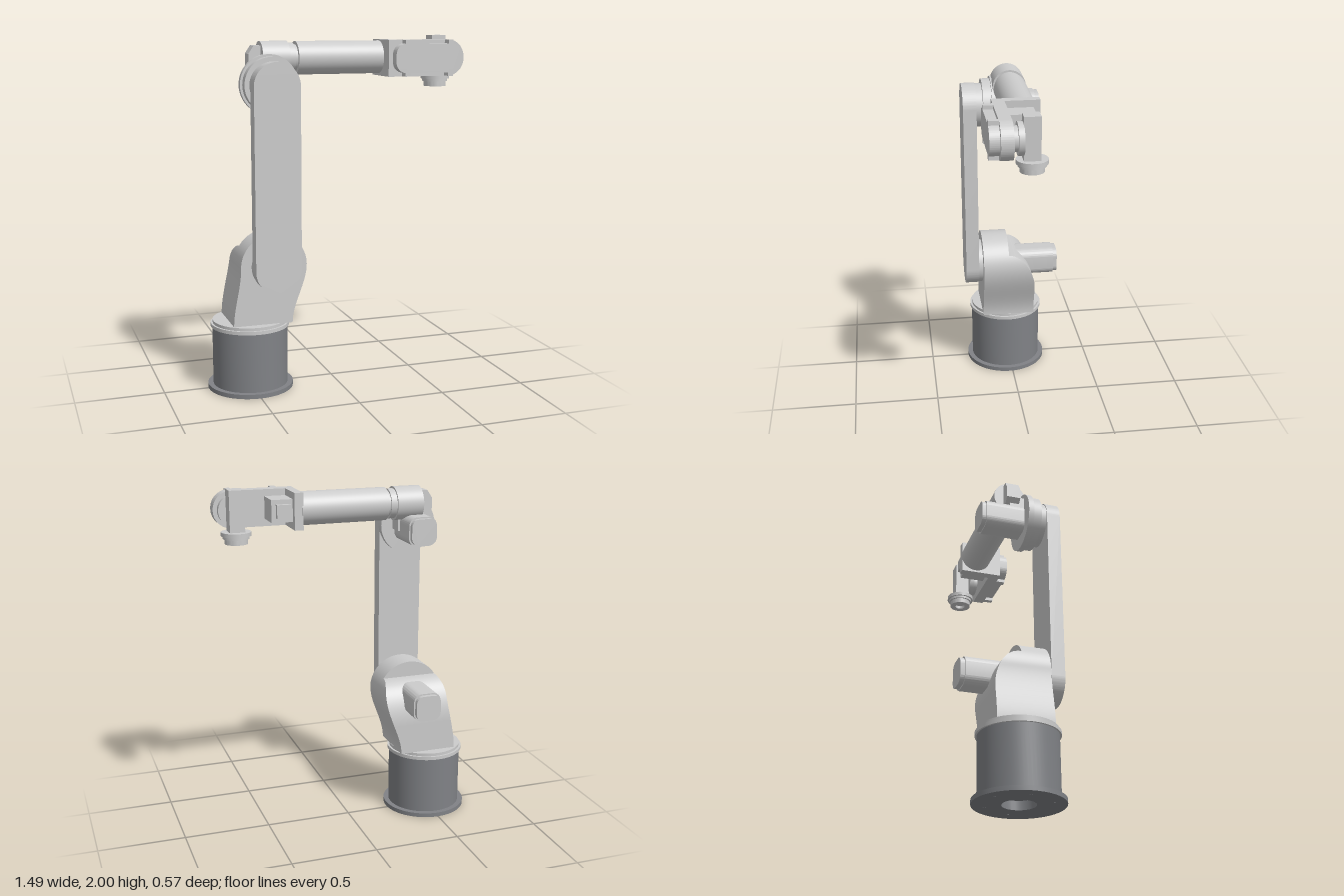
import * as THREE from 'three';
import { toCreasedNormals } from 'three/addons/utils/BufferGeometryUtils.js';

const light = new THREE.MeshStandardMaterial({ color: 0xcccccc });
const dark = new THREE.MeshStandardMaterial({ color: 0x808286 });

export function createModel() {
  const root = new THREE.Group();
  const add = (name, geo, mat = light) => {
    const mesh = new THREE.Mesh(geo, mat);
    mesh.name = name;
    root.add(mesh);
    return mesh;
  };
  // box from its limits on each axis
  const box = (name, x0, x1, y0, y1, z0, z1) =>
    add(name, new THREE.BoxGeometry(x1 - x0, y1 - y0, z1 - z0)
      .translate((x0 + x1) / 2, (y0 + y1) / 2, (z0 + z1) / 2));
  // cylinder running along one axis from a to b; u, v are the other two coordinates in xyz order
  const rod = (name, axis, u, v, a, b, r, mat) => {
    const g = new THREE.CylinderGeometry(r, r, b - a, 64);
    const m = (a + b) / 2;
    if (axis === 'x') g.rotateZ(-Math.PI / 2).translate(m, u, v);
    else if (axis === 'z') g.rotateX(Math.PI / 2).translate(u, v, m);
    else g.translate(u, m, v);
    return add(name, g, mat);
  };
  // outline in the xy plane, extruded from z0 to z1
  const slab = (name, shape, z0, z1) =>
    add(name, toCreasedNormals(new THREE.ExtrudeGeometry(shape,
      { depth: z1 - z0, bevelEnabled: false, curveSegments: 24 }).translate(0, 0, z0), 0.5));
  // rectangle with separate corner radii on the left and right
  const rounded = (x0, x1, y0, y1, rl, rr = rl) => {
    const s = new THREE.Shape();
    s.absarc(x1 - rr, y0 + rr, rr, -Math.PI / 2, 0);
    s.absarc(x1 - rr, y1 - rr, rr, 0, Math.PI / 2);
    if (rl > 0) {
      s.absarc(x0 + rl, y1 - rl, rl, Math.PI / 2, Math.PI);
      s.absarc(x0 + rl, y0 + rl, rl, Math.PI, Math.PI * 1.5);
    } else {
      s.lineTo(x0, y1);
      s.lineTo(x0, y0);
    }
    return s;
  };

  // base drum, hollow at the centre underneath
  const bx = -0.5, bz = 0.02;
  const drum = [[0, 0.05], [0.09, 0.05], [0.09, 0], [0.245, 0], [0.245, 0.025],
    [0.215, 0.025], [0.215, 0.365], [0, 0.365]].map(p => new THREE.Vector2(...p));
  add('baseDrum', toCreasedNormals(new THREE.LatheGeometry(drum, 64), 0.5).translate(bx, 0, bz), dark);
  rod('turntable', 'y', bx, bz, 0.365, 0.385, 0.225);
  rod('turntableTop', 'y', bx, bz, 0.385, 0.402, 0.213);
  for (let i = 0; i < 6; i++) {
    const a = i * Math.PI / 3;
    rod('baseBolt', 'y', bx + 0.18 * Math.cos(a), bz + 0.18 * Math.sin(a), -0.001, 0.01, 0.008, dark);
  }

  // shoulder: rectangular sections that sway sideways, round off and step back towards the top
  const jx = -0.395, jy = 0.735;
  const ys = [0.58, 0.822, 0.828, 0.83];
  for (let i = 0; i <= 24; i++) ys.push(0.4 + (jy - 0.4) * i / 24);
  for (let i = 1; i <= 24; i++) ys.push(jy + 0.185 * Math.sin(i / 24 * Math.PI / 2));
  ys.sort((a, b) => a - b);
  const rings = ys.map(y => {
    const t = Math.min(1, (y - 0.4) / (jy - 0.4)), s = t * t * (3 - 2 * t);
    const w = Math.sqrt(Math.max(0, 1 - Math.max(0, (y - jy) / 0.185) ** 2));
    const x0 = y < jy ? -0.63 + 0.045 * s : jx - 0.19 * w;
    const x1 = y < jy ? -0.29 + 0.085 * s : jx + 0.19 * w;
    const k = Math.min(1, Math.max(0, (y - 0.58) / 0.25));
    const zb = 0.025 - 0.16 * Math.sqrt(1 - k * k), zf = 0.18;
    return [[x0, y, zf], [x1, y, zf], [x1, y, zb], [x0, y, zb]];
  });
  const pos = [];
  const quad = (a, b, c, d) => pos.push(...a, ...b, ...c, ...a, ...c, ...d);
  for (let i = 0; i + 1 < rings.length; i++)
    for (let j = 0; j < 4; j++) {
      const k = (j + 1) % 4;
      quad(rings[i][j], rings[i][k], rings[i + 1][k], rings[i + 1][j]);
    }
  quad(...[...rings[0]].reverse());
  const shoulder = new THREE.BufferGeometry();
  shoulder.setAttribute('position', new THREE.Float32BufferAttribute(pos, 3));
  add('shoulder', toCreasedNormals(shoulder, 0.5));

  // joint motors, each with a slightly smaller end cap
  const motor = (name, y, zBack, zFront) => {
    slab(name, rounded(jx - 0.083, jx + 0.083, y - 0.083, y + 0.083, 0.05), zBack + 0.025, zFront);
    slab(name + 'Cap', rounded(jx - 0.075, jx + 0.075, y - 0.075, y + 0.075, 0.045), zBack, zBack + 0.025);
  };
  motor('shoulderMotor', 0.73, -0.285, 0.05);
  motor('elbowMotor', 1.735, -0.165, 0.09);

  // lower arm and its joint disc
  rod('shoulderDisc', 'z', jx, 0.735, 0.178, 0.207, 0.13);
  slab('lowerArm', rounded(-0.525, -0.265, 0.6, 1.87, 0.13), 0.205, 0.283);

  // elbow discs
  rod('elbowDiscOuter', 'z', jx, 1.74, 0.165, 0.207, 0.125);
  rod('elbowDiscMiddle', 'z', jx, 1.74, 0.115, 0.167, 0.152);
  rod('elbowDiscInner', 'z', jx, 1.74, 0.085, 0.117, 0.165);

  // elbow housing joined to the disc, with the drive cap behind it
  const ay = 1.879, az = 0.015;
  rod('elbowHousing', 'x', ay, az, -0.425, -0.27, 0.095);
  box('elbowWeb', -0.47, -0.3, 1.72, 1.86, 0.0, 0.09);
  const cap = new THREE.Shape([[-0.42, 1.81], [-0.42, 1.95], [-0.465, 1.95], [-0.495, 1.905],
    [-0.495, 1.84], [-0.465, 1.81]].map(p => new THREE.Vector2(...p)));
  slab('driveCap', cap, -0.025, 0.055);

  // forearm
  rod('forearmCollar', 'x', ay, az, -0.27, -0.235, 0.084);
  rod('forearmNeck', 'x', ay, az, -0.235, -0.215, 0.075);
  rod('forearm', 'x', ay, az + 0.002, -0.22, 0.285, 0.093);

  // wrist bracket: cross plate and long side plate
  box('wristPlate', 0.28, 0.33, 1.773, 1.978, -0.072, 0.12);
  slab('wristSidePlate', rounded(0.28, 0.74, 1.773, 1.978, 0, 0.1), 0.115, 0.181);
  slab('wristCover', rounded(0.305, 0.71, 1.795, 1.957, 0.06, 0.08), 0.18, 0.235);
  for (const [x0, x1] of [[0.36, 0.395], [0.62, 0.65]])
    for (const [y0, y1] of [[1.775, 1.81], [1.942, 1.978]])
      box('coverTab', x0, x1, y0, y1, 0.18, 0.235);

  // wrist motor inside the bracket
  box('wristMotor', 0.33, 0.45, 1.815, 1.94, -0.035, 0.117);
  box('wristMotorEnd', 0.345, 0.425, 1.84, 1.915, -0.062, -0.03);

  // tool joint
  const tx = 0.637;
  rod('toolJointOuter', 'z', tx, ay, 0.088, 0.117, 0.065);
  rod('toolJointInner', 'z', tx, ay, 0.06, 0.09, 0.085);
  box('toolColumn', tx - 0.042, tx + 0.042, 1.765, 2.0, -0.025, 0.062);
  rod('toolFlange', 'y', tx, az, 1.75, 1.772, 0.083);
  rod('toolFlangeLower', 'y', tx, az, 1.735, 1.752, 0.073);
  const tip = [[0, 1.725], [0.03, 1.725], [0.03, 1.706], [0.064, 1.706], [0.064, 1.737], [0, 1.737]]
    .map(p => new THREE.Vector2(...p));
  add('toolTip', toCreasedNormals(new THREE.LatheGeometry(tip, 48), 0.5).translate(tx, 0, az));

  return root;
}
